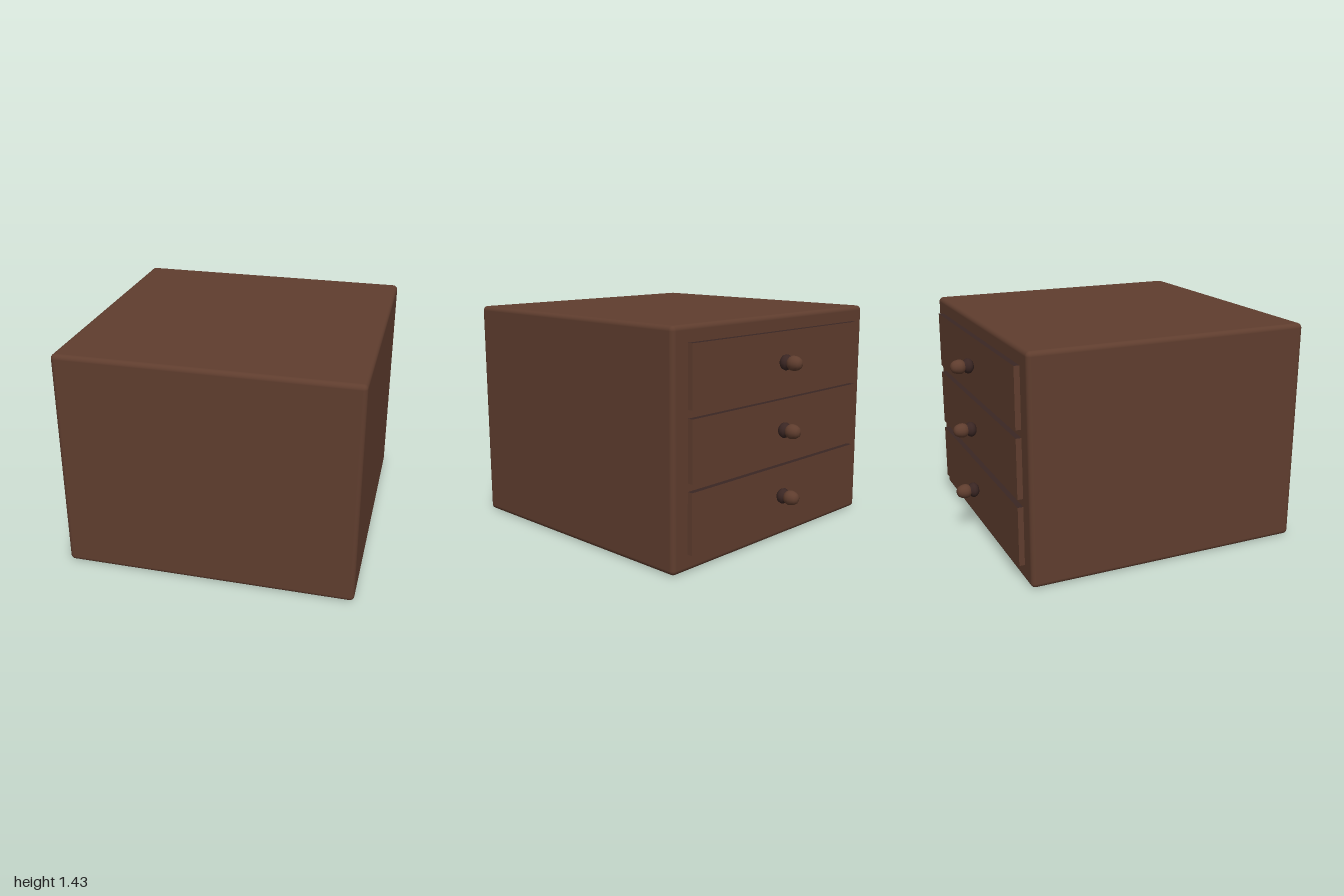
import * as THREE from 'three';
import { RoundedBoxGeometry } from 'three/addons/geometries/RoundedBoxGeometry.js';

const wood = new THREE.MeshStandardMaterial({ color: 0x5f3d2e });
wood.name = 'brown wood';
const dark = new THREE.MeshStandardMaterial({ color: 0x3a2623 });
dark.name = 'dark wood';

function add(parent, name, geometry, material, x, y, z) {
  const mesh = new THREE.Mesh(geometry, material);
  mesh.name = name;
  mesh.position.set(x, y, z);
  parent.add(mesh);
  return mesh;
}

// Turned part whose axis points out of the back (-z)
function turned(points) {
  const g = new THREE.LatheGeometry(points.map(([r, h]) => new THREE.Vector2(r, h)), 16);
  g.rotateX(-Math.PI / 2);
  return g;
}

export function createModel() {
  const model = new THREE.Group();
  model.name = 'drawerCabinet';

  // Cabinet with softly rounded edges
  add(model, 'cabinet', new RoundedBoxGeometry(1.84, 1.43, 1.82, 4, 0.03), wood, 0, 0.715, 0.09);

  // Drawer panels, dark along the top and bottom edges
  const panel = new THREE.BoxGeometry(1.6, 0.375, 0.045);
  const panelMaterials = [wood, wood, dark, dark, wood, wood];

  // Knob: dark flared foot with a neck, and a rounded grip
  const foot = turned([[0, 0], [0.028, 0], [0.044, 0.014], [0.05, 0.032], [0.044, 0.048], [0.034, 0.056], [0.032, 0.07]]);
  const grip = turned([[0.032, 0.055], [0.042, 0.066], [0.047, 0.082], [0.046, 0.1],
    [0.04, 0.12], [0.03, 0.135], [0.016, 0.143], [0, 0.145]]);

  [0.293, 0.718, 1.143].forEach((y) => {
    const drawer = new THREE.Group();
    drawer.name = 'drawer';
    drawer.position.set(0, y, 0);
    add(drawer, 'drawerFront', panel, panelMaterials, 0, 0, -0.8325);
    add(drawer, 'knobFoot', foot, dark, 0, 0, -0.855);
    add(drawer, 'knobGrip', grip, wood, 0, 0, -0.855);
    model.add(drawer);
  });

  return model;
}
